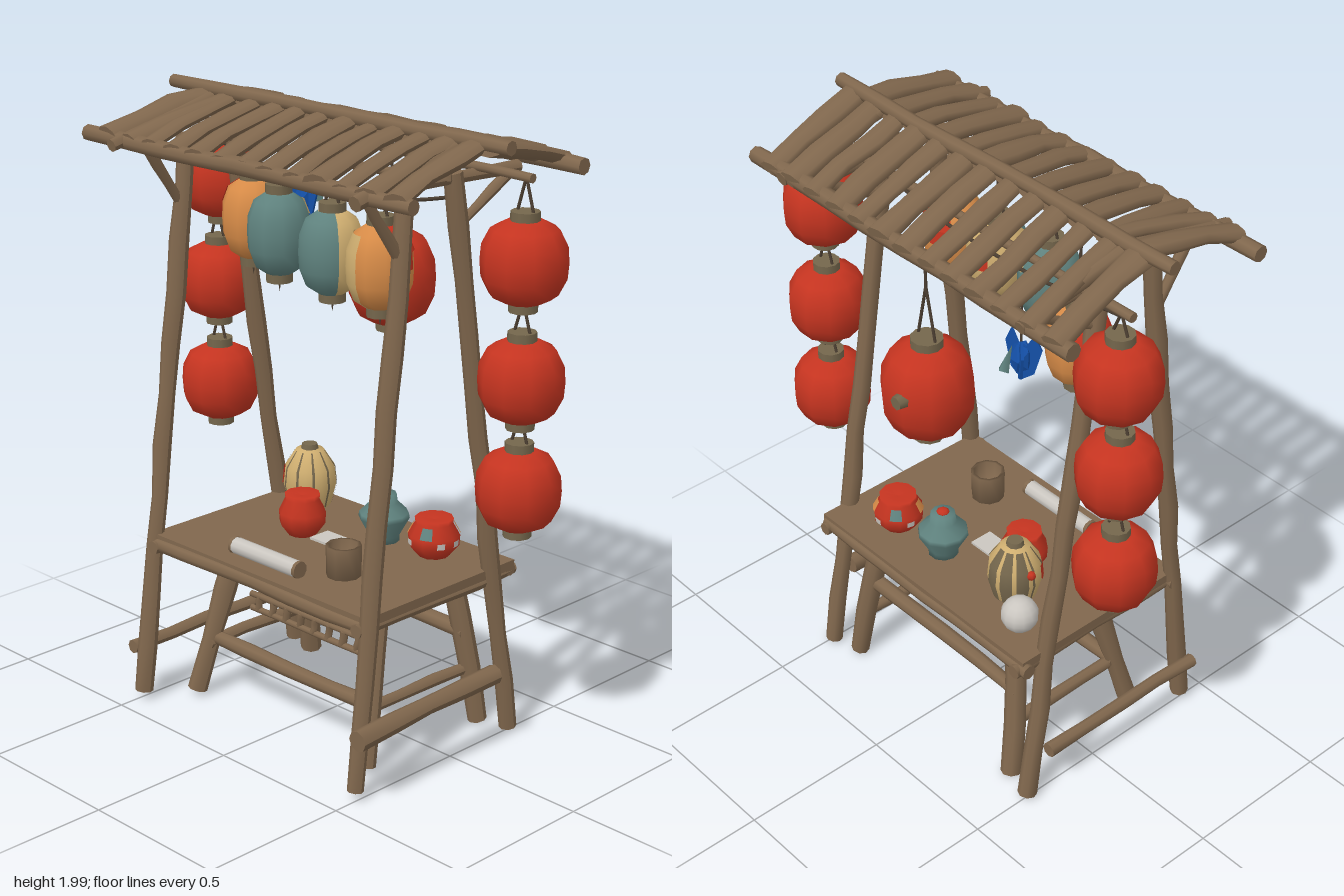
import * as THREE from 'three';

const mat = (name, color, side = THREE.FrontSide) => {
  const m = new THREE.MeshStandardMaterial({ color, side });
  m.name = name;
  return m;
};
const M = {
  wood: mat('wood', 0x80674d),
  dark: mat('dark wood', 0x685540),
  cap: mat('lantern cap', 0x74664c),
  string: mat('string', 0x4c3f32),
  red: mat('red paper', 0xc53420, THREE.DoubleSide),
  orange: mat('orange paper', 0xd88c48, THREE.DoubleSide),
  cream: mat('cream paper', 0xcfae70, THREE.DoubleSide),
  teal: mat('teal paper', 0x5f827e, THREE.DoubleSide),
  blue: mat('blue cloth', 0x1450a8, THREE.DoubleSide),
  white: mat('white paper', 0xcac6c0),
};
const V = (p) => new THREE.Vector3(...p);

export function createModel() {
  const root = new THREE.Group();
  root.name = 'lanternStall';
  let seed = 7;
  const rand = () => ((seed = (seed * 16807) % 2147483647) / 2147483647) * 2 - 1;

  const add = (name, geo, material, pos = [0, 0, 0], parent = root) => {
    const m = new THREE.Mesh(geo, material);
    m.name = name;
    m.position.set(...pos);
    parent.add(m);
    return m;
  };

  // Rough branch between two points: each ring varies in thickness and drifts a little
  const pole = (name, a, b, r, { flat = 1, sag = 0 } = {}) => {
    const A = V(a), B = V(b), len = A.distanceTo(B), segs = Math.max(3, Math.round(len / 0.17));
    const geo = new THREE.CylinderGeometry(r, r, len, 8, segs);
    const rings = Array.from({ length: segs + 1 }, () => [1 + rand() * 0.12, rand() * r * 0.15, rand() * r * 0.15]);
    const p = geo.attributes.position;
    for (let i = 0; i < p.count; i++) {
      const t = p.getY(i) / len + 0.5, [s, dx, dz] = rings[Math.round(t * segs)];
      p.setX(i, (p.getX(i) * s + dx) * flat - sag * 4 * t * (1 - t) * Math.sign(A.x - B.x || 1) * -1);
      p.setZ(i, p.getZ(i) * s + dz);
    }
    geo.computeVertexNormals();
    geo.applyQuaternion(new THREE.Quaternion().setFromUnitVectors(new THREE.Vector3(0, 1, 0), B.clone().sub(A).normalize()));
    return add(name, geo, M.wood, A.add(B).multiplyScalar(0.5).toArray());
  };
  const cord = (name, pts, r = 0.004, parent = root) =>
    add(name, new THREE.TubeGeometry(new THREE.CatmullRomCurve3(pts.map(V)), (pts.length - 1) * 4, r, 5), M.string, [0, 0, 0], parent);
  const lathe = (pts, sides = 10, start = 0, sweep = Math.PI * 2) =>
    new THREE.LatheGeometry(pts.map(([x, y]) => new THREE.Vector2(x, y)), sides, start, sweep);

  // Paper lantern with caps and hanger; patches are [material, start, sweep, first, last] on the profile
  const profile = [[0, -1], [0.42, -1], [0.78, -0.8], [0.97, -0.4], [1, 0], [0.97, 0.4], [0.78, 0.8], [0.42, 1], [0, 1]];
  const lantern = (name, pos, r, h, paper, { hang = 0.1, tassel = 0, cap = 0.044, patches = [] } = {}) => {
    const g = new THREE.Group();
    g.name = name;
    g.position.set(...pos);
    root.add(g);
    add('paper', lathe(profile.map(([x, y]) => [x * r, y * h])), paper, [0, 0, 0], g);
    for (const [material, start, sweep, from, to] of patches)
      add('paintedPatch', lathe(profile.slice(from, to + 1).map(([x, y]) => [x * r * 1.025, y * h * 1.01]), Math.ceil(sweep / 0.25), start, sweep), material, [0, 0, 0], g);
    for (const s of [-1, 1]) add('cap', new THREE.CylinderGeometry(cap, cap, 0.035, 10), M.cap, [0, s * (h + 0.01), 0], g);
    for (const s of [-1, 1]) cord('hanger', [[0, h, s * cap * 0.85], [0, h + hang, 0]], 0.005, g);
    if (tassel) add('tassel', new THREE.ConeGeometry(0.01, tassel, 5), M.string, [0, -h - tassel / 2, 0], g).rotation.x = Math.PI;
    return g;
  };

  // Four leaning posts, roof beams and braces
  for (const z of [0.49, -0.49]) {
    const top = z * 0.96;
    pole('rearPost', [-0.41, 0.03, z], [-0.19, 1.86, top], 0.029);
    pole('frontPost', [0.28, 0.01, z], [0.0, 1.86, top], 0.029);
    pole('topBeam', [-0.22, 1.85, top], [0.28, 1.83, top], 0.02);
    pole('rearBrace', [-0.36, 1.85, top], [-0.22, 1.64, top], 0.018);
    pole('frontBrace', [0.25, 1.82, top], [0.04, 1.7, top], 0.016);
    pole('kingPost', [-0.03, 1.84, top], [-0.03, 1.96, top], 0.02);
  }

  // Roof: ridge, eaves and slats
  pole('ridgePole', [-0.03, 1.97, -0.71], [-0.03, 1.97, 0.72], 0.023);
  pole('rearEave', [-0.395, 1.86, -0.7], [-0.395, 1.86, 0.69], 0.026);
  pole('frontEave', [0.33, 1.86, -0.7], [0.33, 1.86, 0.69], 0.027);
  pole('lanternPole', [0.1, 1.86, -0.69], [0.1, 1.86, 0.69], 0.014);
  pole('hangingPole', [-0.13, 1.86, -0.5], [-0.13, 1.86, 0.5], 0.014);
  for (let i = 0; i < 13; i++) {
    const z = -0.6 + i * 0.102, skew = i < 2 ? 0.05 : -0.04;
    const r = 0.04 + rand() * 0.005;
    pole('rearSlat', [-0.41, 1.868, z + 0.01], [-0.02, 1.955, z + skew], r, { flat: 0.55, sag: 0.008 });
    pole('frontSlat', [-0.04, 1.955, z + 0.02], [0.355, 1.868, z - 0.04], r, { flat: 0.55, sag: 0.008 });
  }
  for (const z of [0.52, -0.52]) {
    pole('rearRafter', [-0.45, 1.85, z], [-0.02, 1.95, z], 0.022);
    pole('frontRafter', [-0.04, 1.95, z], [0.36, 1.86, z], 0.022);
  }

  // Table top with pole frame
  add('tableTop', new THREE.BoxGeometry(0.66, 0.03, 0.97), M.wood, [-0.03, 0.56, 0]);
  add('tableUnderside', new THREE.BoxGeometry(0.62, 0.008, 0.93), M.dark, [-0.03, 0.541, 0]);
  for (const x of [-0.35, 0.29]) pole('tableSideRail', [x, 0.54, -0.5], [x, 0.54, 0.48], 0.024);
  for (const z of [-0.46, 0.46]) pole('tableEndRail', [-0.38, 0.535, z], [0.32, 0.535, z], 0.024);

  // Table legs and lower rails
  for (const s of [-1, 1]) {
    pole('rearLeg', [-0.26, 0.02, 0.39 * s], [-0.13, 0.54, 0.32 * s], 0.034);
    pole('frontLeg', [0.25, 0.01, 0.39 * s], [0.18, 0.54, 0.32 * s], 0.034);
    pole('legCrossRail', [-0.24, 0.19, 0.36 * s], [0.24, 0.19, 0.36 * s], 0.02);
  }
  pole('endRail', [-0.45, 0.23, 0.535], [0.16, 0.245, 0.535], 0.031);
  pole('endRail', [-0.42, 0.18, -0.525], [0.22, 0.18, -0.525], 0.024);
  pole('upperLegRail', [0.21, 0.325, -0.37], [0.21, 0.325, 0.37], 0.025);
  pole('lowerLegRail', [-0.21, 0.2, -0.38], [-0.21, 0.2, 0.36], 0.024);
  for (const y of [0.345, 0.395]) pole('ladderRail', [-0.18, y, -0.21], [-0.18, y, 0.3], 0.011);
  for (let i = 0; i < 8; i++) pole('ladderRung', [-0.18, 0.345, -0.18 + i * 0.064], [-0.18, 0.395, -0.17 + i * 0.064], 0.012);

  // Two red lantern strings and the large single lantern
  for (const [z, ys] of [[0.66, [1.61, 1.25, 0.91]], [-0.65, [1.645, 1.305, 0.955]]])
    ys.forEach((y, i) => lantern('redLantern', [i && z < 0 ? 0.09 : 0.105, y, z], 0.13, 0.122, M.red, { hang: i ? 0.12 : 1.86 - y - 0.122 }));
  const big = lantern('largeRedLantern', [0.3, 1.39, -0.06], 0.143, 0.15, M.red, { hang: 0.2, cap: 0.05 });
  cord('lanternCord', [[0.3, 1.73, -0.06], [0.3, 1.86, -0.06]], 0.005);
  add('knot', new THREE.CylinderGeometry(0.022, 0.026, 0.03, 7), M.cap, [0.137, 0.03, -0.035], big).rotation.z = -Math.PI / 2;

  // Painted lanterns under the roof
  const painted = [
    ['orangeLantern', [-0.13, 1.575, 0.31], M.orange,
      [[M.cream, 3.5, 1.2, 1, 6], [M.red, -0.5, 2.8, 5, 7], [M.red, 1.6, 0.6, 4, 5], [M.red, -0.2, 0.6, 4, 5]]],
    ['creamLantern', [-0.13, 1.58, 0.11], M.cream, [[M.teal, 3.8, 1.9, 1, 7], [M.red, 1.6, 0.5, 4, 5]]],
    ['tealLantern', [-0.14, 1.6, -0.11], M.teal, [[M.orange, 1.9, 0.3, 5, 6], [M.cream, 1.1, 0.25, 5, 6]]],
    ['orangeLantern', [0, 1.575, -0.38], M.orange, [[M.red, 1.9, 2, 5, 7]]],
  ];
  for (const [name, [x, y, z], paper, patches] of painted) {
    lantern(name, [x, y, z], 0.1, 0.125, paper, { hang: 0.12, tassel: 0.06, cap: 0.042, patches });
    cord('lanternCord', [[x, 1.8, z], [x, 1.91, z]], 0.005);
  }
  cord('saggingRope', [[0.02, 1.79, 0.5], [0.02, 1.735, 0.25], [0.02, 1.72, 0], [0.02, 1.73, -0.25], [0.04, 1.79, -0.6]], 0.006);

  // Blue cloth ornament: folded wings with a small teal tip
  const wing = new THREE.Shape([[0, -0.075], [0.04, -0.05], [0.062, 0.03], [0.04, 0.08], [0.015, 0.04], [0, 0.05]].map((p) => new THREE.Vector2(...p)));
  for (const a of [0.95, 2.2, -1.5])
    add('blueWing', new THREE.ExtrudeGeometry(wing, { depth: 0.008, bevelEnabled: false }), M.blue, [0.205, 1.61, -0.36]).rotation.y = a;
  add('blueKnot', new THREE.IcosahedronGeometry(0.035, 0), M.blue, [0.205, 1.61, -0.36]).scale.y = 1.6;
  const tip = add('tealTip', new THREE.ConeGeometry(0.02, 0.08, 4), M.teal, [0.255, 1.63, -0.36]);
  tip.rotation.z = 0.4;
  cord('ornamentCord', [[0.205, 1.65, -0.36], [0.205, 1.88, -0.36]]);

  // Goods on the table
  const bowl = [[0, 0], [0.05, 0], [0.08, 0.035], [0.083, 0.07], [0.06, 0.11], [0.062, 0.125], [0, 0.118]];
  add('redBowl', lathe(bowl), M.red, [0.15, 0.577, 0.28]);
  for (let i = 0; i < 9; i++) {
    const high = i % 2;
    const band = high ? [[0.083, 0.074], [0.065, 0.108]] : [[0.084, 0.045], [0.086, 0.065]];
    add('bowlMark', lathe(band, 3, i * 0.698, high ? 0.5 : 0.3), [M.white, M.orange, M.white, M.teal][i % 4], [0.15, 0.577, 0.28]);
  }
  add('redJar', lathe(bowl.map(([x, y]) => [x * 0.93, y * 1.1])), M.red, [-0.02, 0.577, -0.14]);
  add('tealVase', lathe([[0, 0], [0.05, 0], [0.05, 0.02], [0.083, 0.08], [0.08, 0.095], [0.045, 0.13], [0.04, 0.16], [0, 0.165]]), M.teal, [0.13, 0.575, 0.08]);
  add('vaseLid', new THREE.SphereGeometry(0.022, 8, 5), M.red, [0.13, 0.738, 0.08]).scale.y = 0.5;

  // Ribbed lantern: cream with aged ribs on one side and a red mark behind
  const rib = [[0.069, 0.04], [0.087, 0.11], [0.081, 0.17], [0.046, 0.225]];
  add('ribbedLantern', lathe([[0, 0], [0.03, 0], ...rib, [0, 0.235]], 20), M.cream, [0.12, 0.577, -0.25]);
  for (let i = 0; i < 10; i++) {
    const aged = i > 1 && i < 5;
    add('rib', lathe(rib.map(([x, y]) => [x * 1.03, y]), aged ? 2 : 1, i * Math.PI / 5 - 0.05, aged ? 0.46 : 0.1), M.cap, [0.12, 0.577, -0.25]);
  }
  add('redMark', lathe([[0.09, 0.11], [0.085, 0.165]], 3, 3.6, 0.55), M.red, [0.12, 0.577, -0.25]);
  add('redTag', new THREE.SphereGeometry(0.016, 6, 4), M.red, [0.13, 0.735, -0.335]);
  add('ribbedLanternTop', new THREE.CylinderGeometry(0.025, 0.03, 0.02, 10), M.cap, [0.12, 0.812, -0.25]);

  add('whiteBall', new THREE.SphereGeometry(0.06, 12, 9), M.white, [0.2, 0.637, -0.36]);
  add('brushCup', lathe([[0, 0], [0.055, 0], [0.057, 0.1], [0.046, 0.1], [0.044, 0.03], [0, 0.03]]), M.wood, [-0.17, 0.577, 0.2]);
  add('paperRoll', new THREE.CylinderGeometry(0.027, 0.027, 0.28, 10), M.white, [-0.28, 0.6, -0.03]).rotation.x = Math.PI / 2;
  for (const z of [-0.175, 0.115])
    add('rollEnd', new THREE.CylinderGeometry(0.028, 0.028, 0.012, 10), M.wood, [-0.28, 0.6, z]).rotation.x = Math.PI / 2;
  add('paperSheet', new THREE.BoxGeometry(0.08, 0.008, 0.13), M.white, [0, 0.58, -0.02]);
  return root;
}
